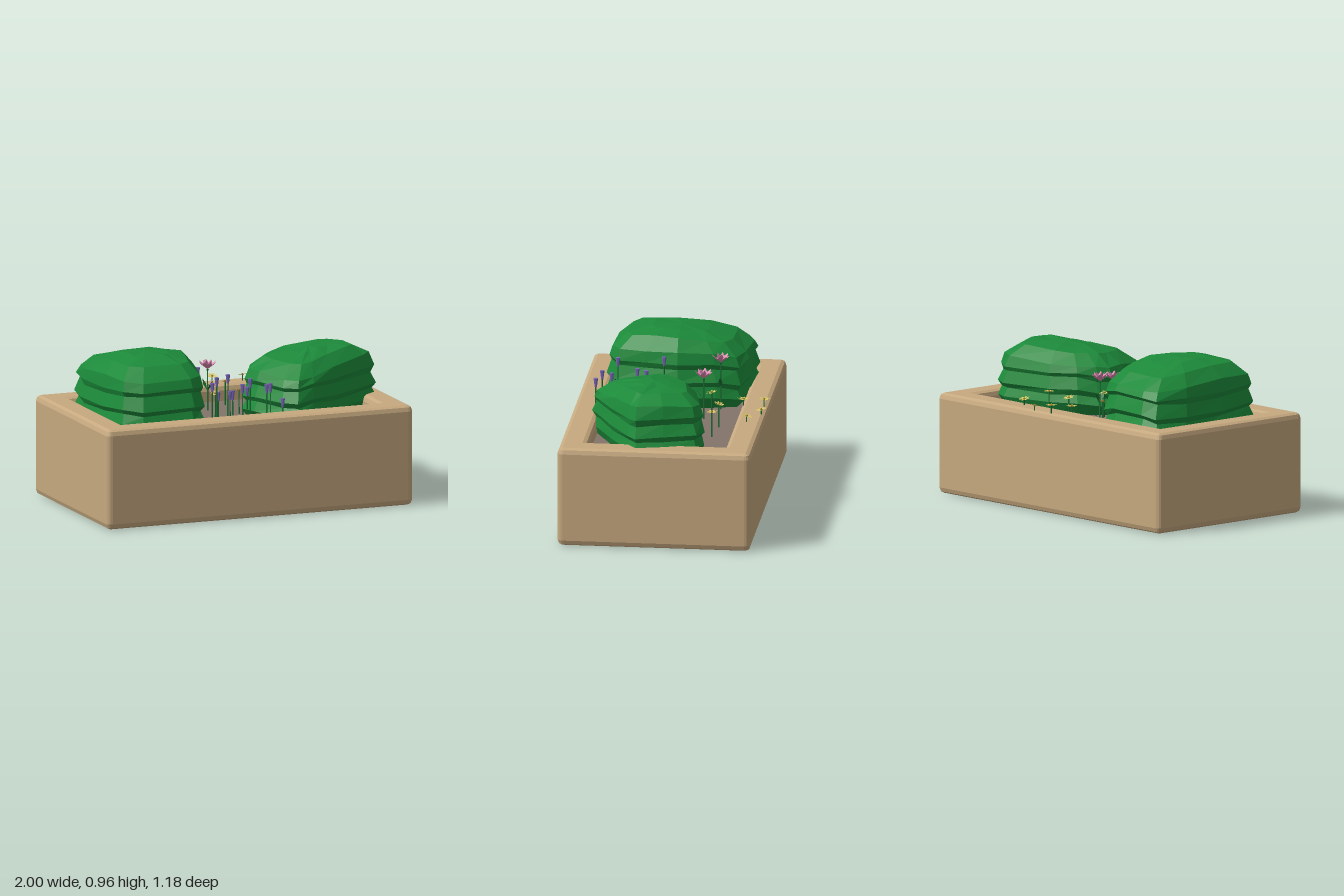
import * as THREE from 'three';
import { mergeGeometries } from 'three/addons/utils/BufferGeometryUtils.js';

const mat = (name, color, extra = {}) => {
  const m = new THREE.MeshStandardMaterial({ color, flatShading: true, ...extra });
  m.name = name;
  return m;
};

// Repeatable small variation
function seeded(seed) {
  let s = seed;
  return () => (s = (s * 16807) % 2147483647) / 2147483647;
}

// Open rectangular frame with softened edges, standing on y = 0
function frame(x, z, wall, h) {
  const r = 0.035, ix = x - wall, iz = z - wall, bevel = 0.035;
  const shape = new THREE.Shape();
  shape.absarc(x - r, z - r, r, 0, Math.PI / 2);
  shape.absarc(-x + r, z - r, r, Math.PI / 2, Math.PI);
  shape.absarc(-x + r, -z + r, r, Math.PI, Math.PI * 1.5);
  shape.absarc(x - r, -z + r, r, Math.PI * 1.5, Math.PI * 2);
  shape.closePath();
  const hole = [[-ix, -iz], [-ix, iz], [ix, iz], [ix, -iz]];
  shape.holes.push(new THREE.Path(hole.map(([a, b]) => new THREE.Vector2(a, b))));
  return new THREE.ExtrudeGeometry(shape, {
    depth: h - 2 * bevel, curveSegments: 2, bevelSegments: 2,
    bevelThickness: bevel, bevelSize: 0.03, bevelOffset: -0.03,
  }).translate(0, 0, bevel).rotateX(-Math.PI / 2);
}

// Layered shrub: rings of one outline, each [height, scale, share of the roof form];
// roof is [slope in x, slope in z, drop towards both z ends]
function bush(outline, center, rings, top, roof, seed) {
  const rnd = seeded(seed), n = outline.length, pos = [], idx = [];
  const wave = outline.map(() => (rnd() - 0.5) * 0.035);
  rings.forEach(([y, s, t]) => outline.forEach(([x, z], i) => {
    const k = s + (rnd() - 0.5) * 0.025;
    const dx = (x - center[0]) * k, dz = (z - center[1]) * k;
    const lean = t * (roof[0] * dx + roof[1] * dz - roof[2] * dz * dz);
    pos.push(center[0] + dx, y + lean + wave[i] * (1 - t) + (rnd() - 0.5) * 0.01, center[1] + dz);
  }));
  pos.push(center[0], top, center[1]);
  for (let r = 0; r < rings.length - 1; r++) for (let i = 0; i < n; i++) {
    const a = r * n + i, b = r * n + (i + 1) % n, c = a + n, d = b + n;
    idx.push(a, c, b, b, c, d);
  }
  const last = (rings.length - 1) * n;
  for (let i = 0; i < n; i++) idx.push(last + i, rings.length * n, last + (i + 1) % n);
  const g = new THREE.BufferGeometry();
  g.setAttribute('position', new THREE.Float32BufferAttribute(pos, 3));
  g.setIndex(idx);
  g.computeVertexNormals();
  return g;
}

// Ring of kite-shaped petals, rising outwards
function petals(count, radius, rise, width) {
  const parts = [];
  for (let i = 0; i < count; i++) {
    const g = new THREE.BufferGeometry();
    g.setAttribute('position', new THREE.Float32BufferAttribute([
      0, 0, 0, radius * 0.65, rise * 0.6, width, radius, rise, 0, radius * 0.65, rise * 0.6, -width], 3));
    g.setIndex([0, 1, 2, 0, 2, 3]);
    g.rotateY((i / count) * Math.PI * 2);
    parts.push(g);
  }
  const g = mergeGeometries(parts);
  g.computeVertexNormals();
  return g;
}

export function createModel() {
  const model = new THREE.Group();
  model.name = 'planter';
  const wood = mat('tan wood', 0xc6a97f);
  const earth = mat('soil brown', 0x83736a);
  const leaf = mat('bush green', 0x1c8a3a);
  const stalk = mat('stem green', 0x1c7033, { side: THREE.DoubleSide });
  const pink = mat('petal pink', 0xe08ab4, { side: THREE.DoubleSide });
  const purple = mat('bud purple', 0x7a68b8);
  const yellow = mat('petal yellow', 0xd8c868, { side: THREE.DoubleSide });
  const gold = mat('flower centre gold', 0xa98a2c);

  const add = (name, geo, material, x = 0, y = 0, z = 0, parent = model) => {
    const m = new THREE.Mesh(geo, material);
    m.name = name;
    m.position.set(x, y, z);
    parent.add(m);
    return m;
  };

  // Box walls and the soil
  add('boxWalls', frame(1, 0.587, 0.17, 0.614), wood);
  add('soil', new THREE.BoxGeometry(1.68, 0.07, 0.86), earth, 0, 0.48, 0);

  // Shrubs
  const outlineA = [[-0.85, -0.22], [-0.8, -0.43], [-0.7, -0.46], [-0.42, -0.44], [-0.28, -0.39], [-0.23, -0.24],
    [-0.185, -0.01], [-0.23, 0.2], [-0.28, 0.38], [-0.37, 0.44], [-0.7, 0.43], [-0.81, 0.36], [-0.835, 0.1]];
  const outlineB = [[0.1, 0.04], [0.15, -0.04], [0.24, -0.13], [0.4, -0.22], [0.74, -0.28], [0.83, -0.24],
    [0.9, -0.05], [0.94, 0.12], [0.88, 0.17], [0.6, 0.31], [0.42, 0.41], [0.3, 0.45], [0.22, 0.38], [0.13, 0.17]];
  const ringsA = [[0.5, 0.88, 0], [0.58, 1, 0], [0.64, 0.94, 0], [0.672, 1, 0], [0.755, 0.93, 0], [0.79, 0.97, 0.2],
    [0.86, 0.92, 0.6], [0.935, 0.72, 1], [0.957, 0.38, 1]];
  const ringsB = [[0.5, 0.88, 0], [0.575, 1, 0], [0.628, 0.94, 0], [0.66, 1, 0], [0.73, 0.93, 0], [0.765, 0.97, 0.3],
    [0.835, 0.91, 0.9], [0.897, 0.66, 1], [0.914, 0.32, 1]];
  add('rightBush', bush(outlineA, [-0.52, 0], ringsA, 0.965, [0.02, 0.05, 0.25], 17), leaf);
  add('leftBush', bush(outlineB, [0.53, 0.05], ringsB, 0.922, [0.08, -0.02, 0.25], 41), leaf);

  // Flower on a thin stem
  const plant = (name, x, y, z) => {
    const g = new THREE.Group();
    g.name = name;
    g.position.set(x, 0.5, z);
    model.add(g);
    const h = y - 0.5;
    add('stem', new THREE.CylinderGeometry(0.004, 0.005, h, 5), stalk, 0, h / 2, 0, g);
    return [g, h];
  };

  // Tall pink cup flowers with two blades on the stem
  [[-0.24, 0.81, -0.27], [-0.03, 0.77, -0.19]].forEach(([x, y, z], i) => {
    const [g, h] = plant('pinkFlower', x, y, z);
    add('leaves', petals(2, 0.045, 0.07, 0.012), stalk, 0, h * 0.5, 0, g).rotation.y = i * 1.9;
    add('outerPetals', petals(8, 0.056, 0.05, 0.017), pink, 0, h, 0, g);
    add('innerPetals', petals(5, 0.028, 0.06, 0.013), pink, 0, h, 0, g).rotation.y = 0.3;
    add('flowerCup', new THREE.ConeGeometry(0.008, 0.02, 6), stalk, 0, h - 0.01, 0, g).rotation.x = Math.PI;
  });

  // Slim purple buds
  [[-0.2, 0.86, 0.07], [-0.07, 0.7, 0.08], [-0.04, 0.82, 0.16], [-0.17, 0.79, 0.23], [-0.05, 0.74, 0.26],
    [-0.03, 0.8, 0.37], [-0.19, 0.85, 0.35], [-0.14, 0.78, 0.44], [0.12, 0.81, 0.45], [0.16, 0.77, 0.29],
    [0.11, 0.78, 0.15], [0.11, 0.72, 0.1], [0.22, 0.7, 0.4]].forEach(([x, y, z]) => {
    const [g, h] = plant('purpleFlower', x, y - 0.07, z);
    add('bud', new THREE.CylinderGeometry(0.014, 0.007, 0.055, 6), purple, 0, h + 0.0275, 0, g);
  });

  // Low yellow star flowers
  [[0, 0.66, -0.56], [0.15, 0.64, -0.56], [0.32, 0.65, -0.49], [-0.04, 0.645, -0.43], [-0.1, 0.66, -0.23],
    [0.13, 0.66, -0.3], [0.33, 0.67, -0.28], [-0.06, 0.66, 0.01], [0.11, 0.66, -0.03]].forEach(([x, y, z], i) => {
    const [g, h] = plant('yellowFlower', x, y, z);
    const head = new THREE.Group();
    head.name = 'flowerHead';
    head.position.y = h;
    head.rotation.set(Math.sin(i * 2.1) * 0.3, i, 0);
    g.add(head);
    add('starPetals', petals(8, 0.037, 0.006, 0.008), yellow, 0, 0, 0, head);
    add('flowerCentre', new THREE.SphereGeometry(0.008, 6, 4), gold, 0, 0.003, 0, head);
  });

  return model;
}
